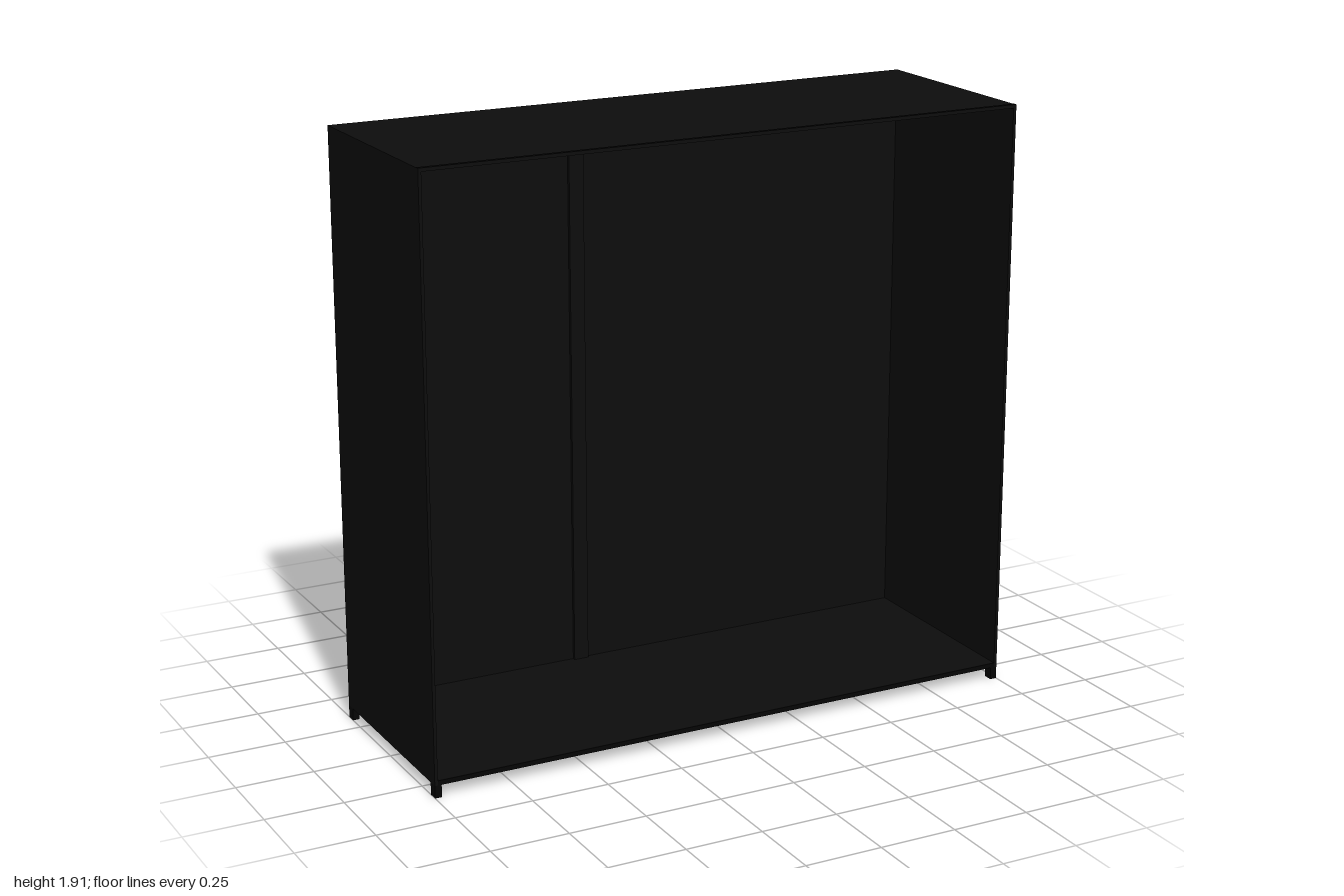
import * as THREE from 'three';

export function createModel() {
  const group = new THREE.Group();
  group.name = 'cabinet';

  const mat = (name, color) => {
    const m = new THREE.MeshStandardMaterial({ color });
    m.name = name;
    return m;
  };
  const panelBlack = mat('panelBlack', 0x0d0d0d);
  const trimBlack = mat('trimBlack', 0x050505);
  const latchGrey = mat('latchGrey', 0xb8b8b8);
  const slotGrey = mat('slotGrey', 0x303030);

  const add = (name, geometry, material) => {
    const mesh = new THREE.Mesh(geometry, material);
    mesh.name = name;
    group.add(mesh);
    return mesh;
  };
  // Box given by its lower and upper corners
  const box = (name, x0, x1, y0, y1, z0, z1, material = panelBlack) => {
    const mesh = add(name, new THREE.BoxGeometry(x1 - x0, y1 - y0, z1 - z0), material);
    mesh.position.set((x0 + x1) / 2, (y0 + y1) / 2, (z0 + z1) / 2);
    return mesh;
  };

  // Open-fronted shell
  const back = -0.342;
  box('floor', -0.99, 0.99, 0.04, 0.055, back, 0.345);
  box('top', -0.99, 0.99, 1.9, 1.91, back, 0.35);
  box('backPanel', -0.99, 0.99, 0.055, 1.9, -0.335, -0.329);
  for (const s of [-1, 1]) {
    const a = s * 0.99, b = s;
    box('side', Math.min(a, b), Math.max(a, b), 0.04, 1.91, back, 0.35);
  }
  box('frontRail', -0.99, 0.99, 0.04, 0.055, 0.345, 0.35, trimBlack);
  box('topTrim', -1, 1, 1.91, 1.911, 0.335, 0.35, trimBlack);

  // Short corner legs
  for (const x of [-1, 0.978])
    for (const z of [back, 0.318])
      box('leg', x, x + 0.022, 0, 0.04, z, z + 0.032, trimBlack);

  // Frame around the doors, and the post showing inside
  box('topFrame', -0.99, 0.99, 1.875, 1.9, back, -0.335);
  box('bottomFrame', -0.99, 0.99, 0.055, 0.08, back, -0.335);
  for (const x of [-0.99, 0.972]) box('sideFrame', x, x + 0.018, 0.08, 1.875, back, -0.335);
  box('innerPost', -0.215, -0.165, 0.055, 1.9, -0.329, -0.318);

  // Doors with narrow seams between them
  const door = (name, x0, x1, y0, y1) => box(name, x0, x1, y0, y1, -0.346, -0.335);
  door('leftDoor', 0.403, 0.965, 0.09, 1.867);
  door('middleDoor', -0.175, 0.397, 0.09, 1.867);
  door('rightDoor', -0.965, -0.205, 0.09, 1.755);
  door('rightFascia', -0.965, -0.205, 1.765, 1.867);

  // Rounded latch plates with an arched finger slot
  const w = 0.05, r = 0.018;
  const plate = new THREE.Shape();
  plate.absarc(w - r, w - r, r, 0, Math.PI / 2);
  plate.absarc(r - w, w - r, r, Math.PI / 2, Math.PI);
  plate.absarc(r - w, r - w, r, Math.PI, Math.PI * 1.5);
  plate.absarc(w - r, r - w, r, Math.PI * 1.5, Math.PI * 2);
  const plateGeo = new THREE.ExtrudeGeometry(plate, {
    depth: 0.002, bevelThickness: 0.0015, bevelSize: 0.004, bevelOffset: -0.004,
    bevelSegments: 2, curveSegments: 5,
  });
  const slot = new THREE.Shape();
  slot.moveTo(-0.036, -0.002);
  slot.quadraticCurveTo(0, 0.026, 0.036, -0.002);
  slot.lineTo(0.036, -0.01);
  slot.quadraticCurveTo(0, 0.014, -0.036, -0.01);
  const slotGeo = new THREE.ExtrudeGeometry(slot, { depth: 0.001, bevelEnabled: false, curveSegments: 8 });
  for (const x of [0.32, -0.28]) {
    add('latchPlate', plateGeo, latchGrey).position.set(x, 0.88, -0.3475);
    add('latchSlot', slotGeo, slotGrey).position.set(x, 0.88, -0.35);
  }
  return group;
}
